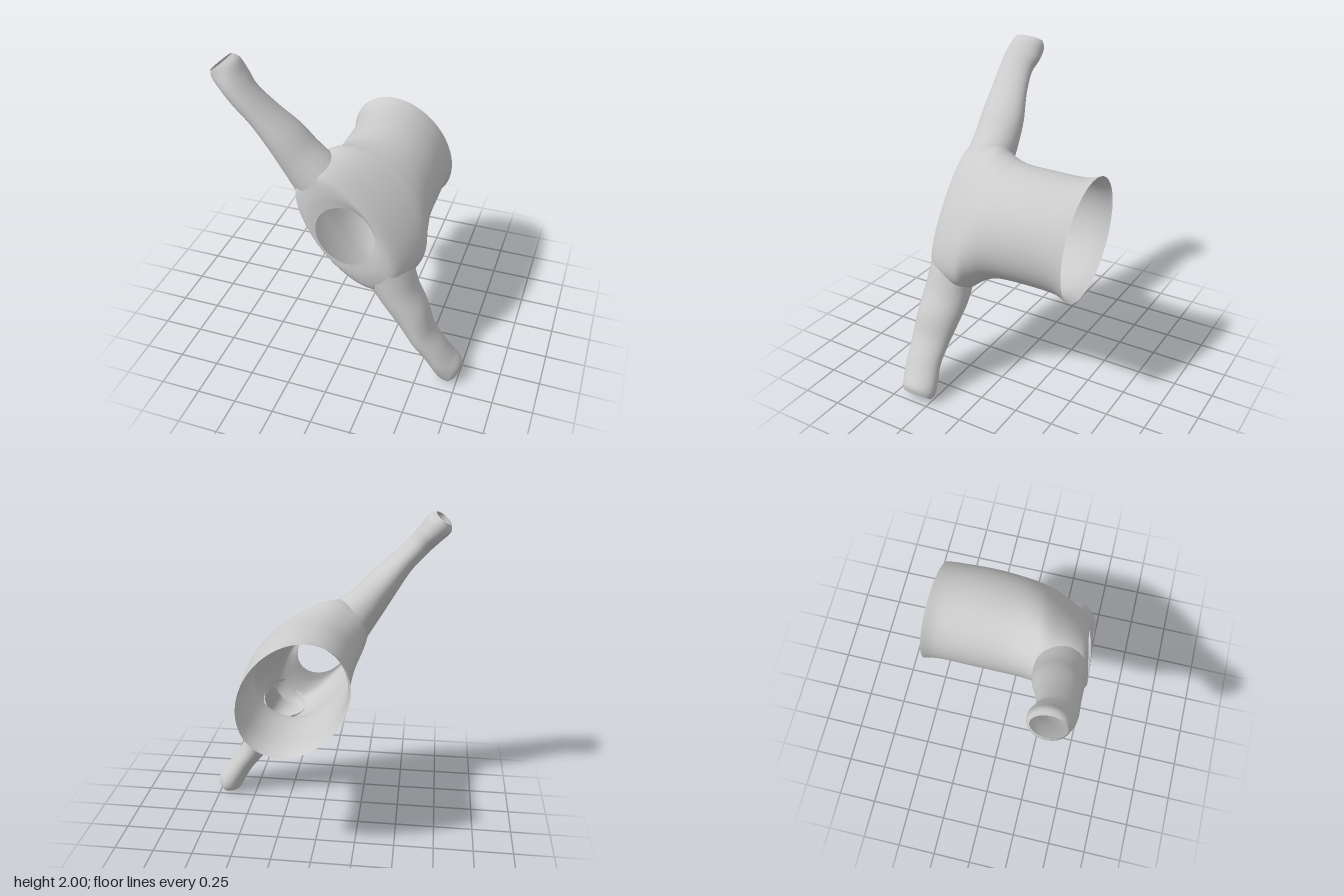
import * as THREE from 'three';

const SIDES = 72;
const material = new THREE.MeshStandardMaterial({ color: 0xcccccc, side: THREE.DoubleSide });

// Garment frame: u runs along the sleeves, v runs from front to back of the garment, z from hem to neck
const place = (u, v, z) => [-0.593 * u + 0.806 * v, 1 + 0.806 * u + 0.593 * v, z];

// Smoothly resample a table of section rows
function resample(table, count) {
  const at = (i, k) => table[Math.min(Math.max(i, 0), table.length - 1)][k];
  return Array.from({ length: count + 1 }, (_, n) => {
    const s = (n / count) * (table.length - 1);
    const i = Math.min(Math.floor(s), table.length - 2), f = s - i;
    return table[0].map((_, k) => {
      const a = at(i - 1, k), b = at(i, k), c = at(i + 1, k), d = at(i + 2, k);
      return b + 0.5 * f * (c - a + f * (2 * a - 5 * b + 4 * c - d + f * (3 * (b - c) + d - a)));
    });
  });
}

// Skin closed rings of [u, v, z] points; cut(point) marks points to leave open
function skin(name, rings, flip, cut = () => false) {
  const index = [];
  const tri = (a, b, c) => {
    const open = [a, b, c].every(n => cut(rings[Math.floor(n / SIDES)][n % SIDES]));
    if (!open) index.push(...(flip ? [a, c, b] : [a, b, c]));
  };
  for (let i = 0; i < rings.length - 1; i++) {
    for (let j = 0; j < SIDES; j++) {
      const k = (j + 1) % SIDES, p = i * SIDES, q = p + SIDES;
      tri(p + j, p + k, q + j);
      tri(p + k, q + k, q + j);
    }
  }
  const geometry = new THREE.BufferGeometry();
  const points = rings.flat().flatMap(p => place(...p));
  geometry.setAttribute('position', new THREE.Float32BufferAttribute(points, 3));
  geometry.setIndex(index);
  geometry.computeVertexNormals();
  const mesh = new THREE.Mesh(geometry, material);
  mesh.name = name;
  return mesh;
}

const angles = Array.from({ length: SIDES }, (_, j) => (j / SIDES) * Math.PI * 2);

// Torso sections from hem to neck: z, centre u, centre v, radius u, radius v, roundness, tilt
const torsoRows = resample([
  [-0.505, 0, 0.124, 0.388, 0.302, 1, 0],
  [-0.41, 0, 0.136, 0.357, 0.3, 1, 0],
  [-0.2, 0, 0.14, 0.353, 0.305, 1, 0],
  [0, -0.003, 0.135, 0.363, 0.298, 0.97, 0],
  [0.12, -0.012, 0.125, 0.405, 0.284, 0.88, 0],
  [0.2, -0.022, 0.11, 0.453, 0.267, 0.8, 0],
  [0.3, -0.02, 0.085, 0.455, 0.245, 0.78, 0],
  [0.4, -0.01, 0.064, 0.445, 0.215, 0.78, 0.005],
  [0.46, 0, 0.055, 0.405, 0.19, 0.8, 0.02],
  [0.478, 0, 0.054, 0.3, 0.172, 0.9, 0.03],
  [0.472, 0, 0.054, 0.195, 0.155, 1, 0.037],
], 80);

// Sleeve sections from shoulder to cuff: u, centre v, centre z, radius v, radius z
const sleeves = [
  {
    name: 'rightSleeve', side: 1, rows: resample([
      [0.4, 0.047, 0.338, 0.147, 0.152],
      [0.52, 0.04, 0.338, 0.121, 0.15],
      [0.66, 0.04, 0.345, 0.102, 0.145],
      [0.83, 0.029, 0.365, 0.078, 0.124],
      [0.98, 0.012, 0.377, 0.075, 0.114],
      [1.08, 0.005, 0.362, 0.08, 0.122],
      [1.16, 0, 0.352, 0.086, 0.112],
      [1.2, 0, 0.357, 0.057, 0.098],
    ], 48),
  },
  {
    name: 'leftSleeve', side: -1, rows: resample([
      [0.4, 0.06, 0.338, 0.145, 0.15],
      [0.54, 0.038, 0.342, 0.118, 0.152],
      [0.7, 0.031, 0.353, 0.104, 0.142],
      [0.85, 0.01, 0.368, 0.082, 0.127],
      [0.98, 0.01, 0.366, 0.077, 0.117],
      [1.08, 0.004, 0.355, 0.08, 0.119],
      [1.16, 0, 0.342, 0.086, 0.113],
      [1.2, 0, 0.342, 0.057, 0.1],
    ], 48),
  },
];

// Distance along u at which the torso wall sits for a given side, v and z
function wallAt(side, v, z) {
  const [, cu, cv, ru, rv, round] = torsoRows.find(r => r[0] >= Math.min(z, 0.465));
  const reach = (Math.abs(v - cv) / rv) ** (2 / round);
  return side * cu + ru * Math.sqrt(Math.max(0.2, 1 - reach));
}

export function createModel() {
  const group = new THREE.Group();
  group.name = 'shirt';

  // Body with armholes cut where the sleeves join, and a neck rim dipping on one side
  const torso = torsoRows.map(([z, cu, cv, ru, rv, round, tilt]) => angles.map(a => {
    const c = Math.cos(a), s = Math.sin(a);
    return [
      cu + ru * c,
      cv + rv * Math.sign(s) * Math.abs(s) ** round,
      z - tilt * (s - 0.35 * c * c),
    ];
  }));
  const armhole = ([u, v, z]) => z < 0.43 && sleeves.some(({ side, rows }) => {
    const [, cv, cz, rv, rz] = rows[0];
    return u * side > 0.25 && Math.hypot((v - cv) / rv, (z - cz) / rz) < 0.9;
  });
  group.add(skin('torso', torso, true, armhole));

  // Sleeves fitted to the torso wall, with cuffs drawn in around an open mouth
  for (const { name, side, rows } of sleeves) {
    const rings = rows.map(([u, cv, cz, rv, rz], i) => angles.map(a => {
      const v = cv + rv * Math.cos(a), z = cz + rz * Math.sin(a);
      const blend = Math.max(0, 1 - i / 14);
      const start = wallAt(side, v, z) - 0.02;
      return [side * (u + (start - rows[0][0]) * blend), v, z];
    }));
    group.add(skin(name, rings, side > 0));
  }
  return group;
}
